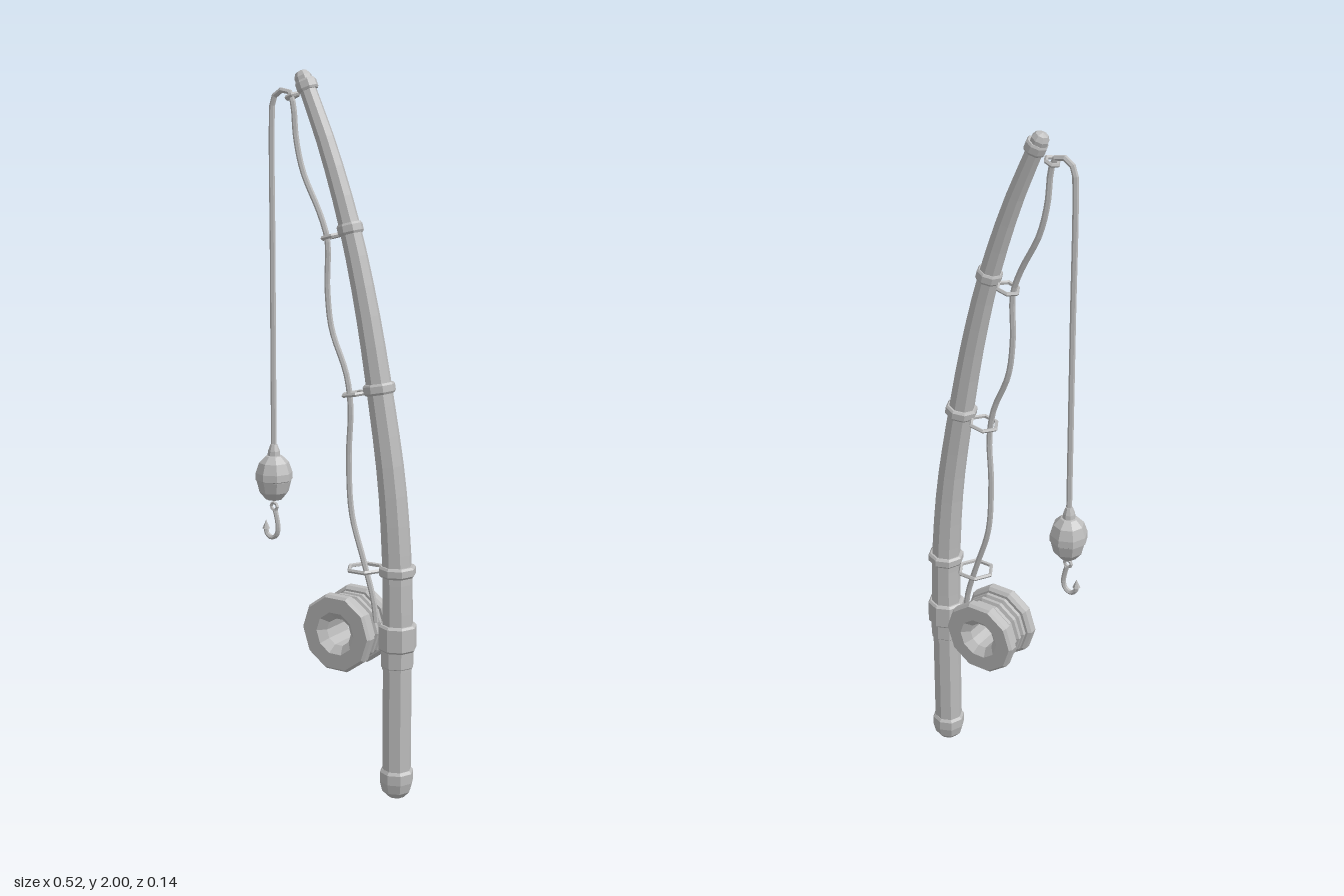
import * as THREE from 'three';

const grey = new THREE.MeshStandardMaterial({ color: 0xbcbcbc, flatShading: true });
grey.name = 'plain grey';

const V = (x, y, z = 0) => new THREE.Vector3(x, y, z);
const curve = (pts) => new THREE.CatmullRomCurve3(pts.map((p) => V(...p)), false, 'centripetal');

export function createModel() {
  const model = new THREE.Group();
  model.name = 'fishingRod';

  const add = (name, geometry, parent = model) => {
    const mesh = new THREE.Mesh(geometry, grey);
    mesh.name = name;
    parent.add(mesh);
    return mesh;
  };
  const lathe = (profile, sides = 8, phi = 0) =>
    new THREE.LatheGeometry(profile.map((p) => new THREE.Vector2(...p)), sides, phi);

  // Short collar with chamfered rims, centred on its own origin
  const collar = (r, h) => lathe([
    [0, -h / 2], [r * 0.9, -h / 2], [r, -h / 2 + 0.006],
    [r, h / 2 - 0.006], [r * 0.9, h / 2], [0, h / 2],
  ]);

  // Curved, tapering pole
  const path = curve([
    [0.207, 0.38], [0.207, 0.52], [0.204, 0.66], [0.185, 0.9], [0.143, 1.16],
    [0.1, 1.38], [0.048, 1.585], [-0.025, 1.8], [-0.098, 1.97],
  ]);
  const steps = 20;
  const pole = new THREE.TubeGeometry(path, steps, 1, 8);
  const pos = pole.attributes.position;
  for (let i = 0; i <= steps; i++) {
    const c = path.getPointAt(i / steps);
    const r = 0.044 - 0.021 * Math.pow(i / steps, 1.3);
    for (let j = 0; j <= 8; j++) {
      const k = i * 9 + j;
      const v = V(0, 0).fromBufferAttribute(pos, k).sub(c).multiplyScalar(r).add(c);
      pos.setXYZ(k, v.x, v.y, v.z);
    }
  }
  add('pole', pole);

  // Handle, end cap and reel seat
  add('handle', lathe([[0, 0.06], [0.041, 0.06], [0.041, 0.385], [0, 0.385]])).position.x = 0.207;
  add('endCap', lathe([
    [0, 0], [0.024, 0.004], [0.041, 0.022], [0.048, 0.05], [0.048, 0.078], [0.042, 0.086], [0, 0.086],
  ])).position.x = 0.207;
  add('lowerCollar', collar(0.046, 0.06)).position.set(0.207, 0.413, 0);
  add('reelSeat', collar(0.054, 0.075)).position.set(0.207, 0.472, 0);

  // Collars with hexagonal line guides: centre, tilt, collar radius, ring centre offset, ring radius
  const guides = [
    [0.205, 0.66, 0.02, 0.052, 0.105, 0.056],
    [0.143, 1.16, 0.17, 0.045, 0.077, 0.045],
    [0.048, 1.585, 0.26, 0.036, 0.062, 0.036],
    [-0.092, 1.96, 0.4, 0.03, 0.055, 0.024],
  ];
  for (const [x, y, tilt, r, offset, ringR] of guides) {
    const guide = new THREE.Group();
    guide.name = 'lineGuide';
    guide.position.set(x, y, 0);
    guide.rotation.z = tilt;
    add('guideCollar', collar(r, 0.03), guide);
    const ring = add('guideRing', new THREE.TorusGeometry(ringR - 0.006, 0.006, 5, 6), guide);
    ring.rotation.x = Math.PI / 2;
    ring.position.set(-offset, -0.008, 0);
    model.add(guide);
  }

  // Rounded tip
  const tip = add('tipCap', lathe([[0.024, 0], [0.024, 0.018], [0.017, 0.031], [0, 0.037]]));
  tip.position.set(-0.098, 1.966, 0);
  tip.rotation.z = 0.4;

  // Reel: two chamfered flanges around a ridged winding, open through the middle
  const reel = new THREE.Group();
  reel.name = 'reel';
  reel.position.set(0.045, 0.468, -0.001);
  reel.rotation.x = Math.PI / 2;
  const flange = [
    [0.04, 0.034], [0.104, 0.034], [0.113, 0.042], [0.113, 0.062],
    [0.106, 0.07], [0.062, 0.07], [0.04, 0.05], [0.04, 0.034],
  ];
  add('flange', lathe(flange, 10, Math.PI / 2), reel);
  add('flange', lathe(flange, 10, Math.PI / 2), reel).rotation.x = Math.PI;
  const winding = [[0.04, -0.036]];
  for (let i = 0; i < 3; i++) {
    const y = -0.036 + i * 0.024;
    winding.push([0.084, y], [0.1, y + 0.007], [0.1, y + 0.017], [0.084, y + 0.024]);
  }
  winding.push([0.04, 0.036], [0.04, -0.036]);
  add('winding', lathe(winding, 10, Math.PI / 2), reel);
  model.add(reel);

  // Slack line from the reel through the guides, over the tip ring and down
  add('line', new THREE.TubeGeometry(curve([
    [0.136, 0.5], [0.128, 0.56], [0.095, 0.67], [0.055, 0.8], [0.045, 0.96], [0.05, 1.1],
    [0.036, 1.19], [-0.012, 1.31], [-0.026, 1.42], [-0.026, 1.55], [-0.05, 1.62],
    [-0.105, 1.73], [-0.128, 1.82], [-0.137, 1.91], [-0.15, 1.943], [-0.18, 1.946],
    [-0.203, 1.925], [-0.208, 1.88], [-0.209, 1.5], [-0.21, 0.95],
  ]), 90, 0.008, 6));

  // Float with a slightly wider upper shell and a small neck
  const float = new THREE.Group();
  float.name = 'float';
  float.position.set(-0.21, 0.867, 0);
  add('floatLower', lathe([
    [0, -0.068], [0.024, -0.062], [0.042, -0.04], [0.05, -0.008], [0.05, 0],
  ]), float);
  add('floatUpper', lathe([
    [0.048, -0.008], [0.054, -0.004], [0.053, 0.016], [0.043, 0.045], [0.024, 0.064], [0, 0.07],
  ]), float);
  add('floatNeck', lathe([[0.019, 0.06], [0.017, 0.078], [0.01, 0.097], [0, 0.098]]), float);
  model.add(float);

  // Hook hanging from a small eye
  const eye = add('hookEye', new THREE.TorusGeometry(0.011, 0.005, 5, 8));
  eye.position.set(-0.21, 0.783, 0);
  add('hook', new THREE.TubeGeometry(curve([
    [-0.207, 0.772], [-0.201, 0.75], [-0.197, 0.718], [-0.204, 0.698],
    [-0.22, 0.69], [-0.236, 0.7], [-0.24, 0.718],
  ]), 16, 0.007, 6));
  const barb = add('hookPoint', new THREE.ConeGeometry(0.011, 0.026, 6));
  barb.position.set(-0.239, 0.727, 0);

  return model;
}
